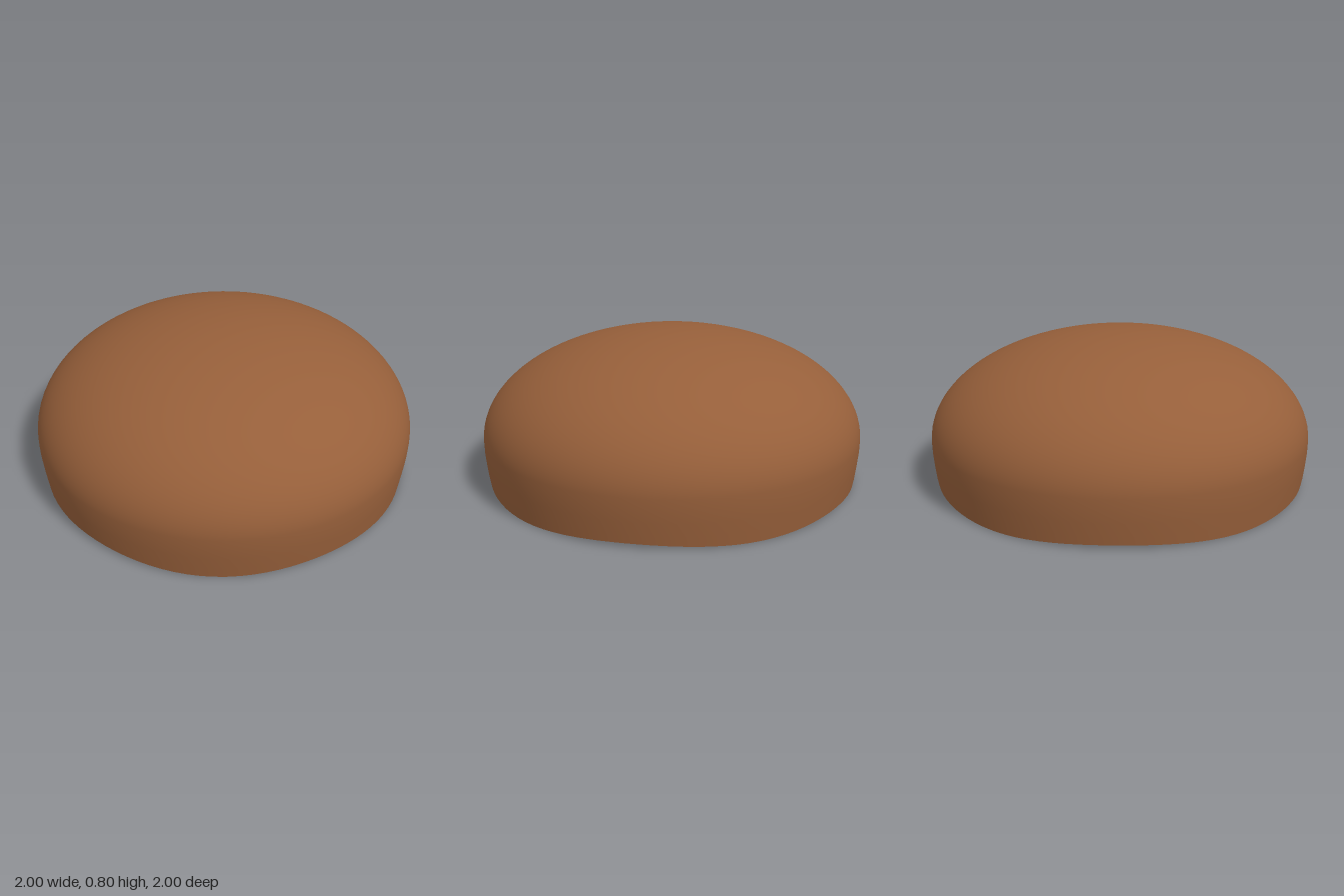
import * as THREE from 'three';

export function createModel() {
  const model = new THREE.Group();
  const brown = new THREE.MeshStandardMaterial({ name: 'brown', color: 0x965f3a, side: THREE.DoubleSide });
  const white = new THREE.MeshStandardMaterial({ name: 'white', color: 0xe0e0e0 });

  const add = (name, geometry, material, x = 0, y = 0, z = 0) => {
    const mesh = new THREE.Mesh(geometry, material);
    mesh.name = name;
    mesh.position.set(x, y, z);
    model.add(mesh);
    return mesh;
  };
  const vec = ([x, y]) => new THREE.Vector2(x, y);

  // Shade: slightly tapered skirt flowing into an elliptical crown
  const profile = [[0.975, 0], [0.983, 0.06], [0.992, 0.13], [0.998, 0.19]].map(vec);
  const steps = 28;
  for (let i = 0; i <= steps; i++) {
    const a = (i / steps) * Math.PI / 2;
    profile.push(new THREE.Vector2(i === steps ? 0 : Math.cos(a), 0.25 + 0.55 * Math.sin(a)));
  }
  const shade = new THREE.LatheGeometry(profile, 96);
  // Gentle five-lobed wave along the lower rim
  const p = shade.attributes.position;
  for (let i = 0; i < p.count; i++) {
    if (p.getY(i) < 0.001) {
      p.setY(i, 0.01 - 0.01 * Math.cos(5 * Math.atan2(p.getZ(i), p.getX(i))));
    }
  }
  add('shade', shade, brown);

  // Rod and stepped collars hanging from the crown
  add('rod', new THREE.CylinderGeometry(0.034, 0.034, 0.33, 24), brown, 0, 0.63, 0);
  add('upperCollar', new THREE.CylinderGeometry(0.078, 0.078, 0.08, 32), brown, 0, 0.45, 0);
  add('lowerCollar', new THREE.CylinderGeometry(0.107, 0.107, 0.1, 32), brown, 0, 0.37, 0);

  // Lamp holder with a rounded shoulder
  const holder = [[0.118, 0.05], [0.124, 0.09], [0.142, 0.21], [0.15, 0.25], [0.163, 0.275],
    [0.17, 0.3], [0.168, 0.325], [0.155, 0.34], [0.13, 0.345], [0, 0.345]].map(vec);
  add('lampHolder', new THREE.LatheGeometry(holder, 48), white);
  add('holderBase', new THREE.CircleGeometry(0.118, 48), white, 0, 0.05, 0).rotation.x = Math.PI / 2;

  // Switch on the back of the holder
  add('switchKnob', new THREE.SphereGeometry(0.045, 24, 16), white, 0, 0.13, -0.16);
  add('switchMount', new THREE.CapsuleGeometry(0.025, 0.06, 6, 16), white, 0, 0.1, -0.125);

  return model;
}
